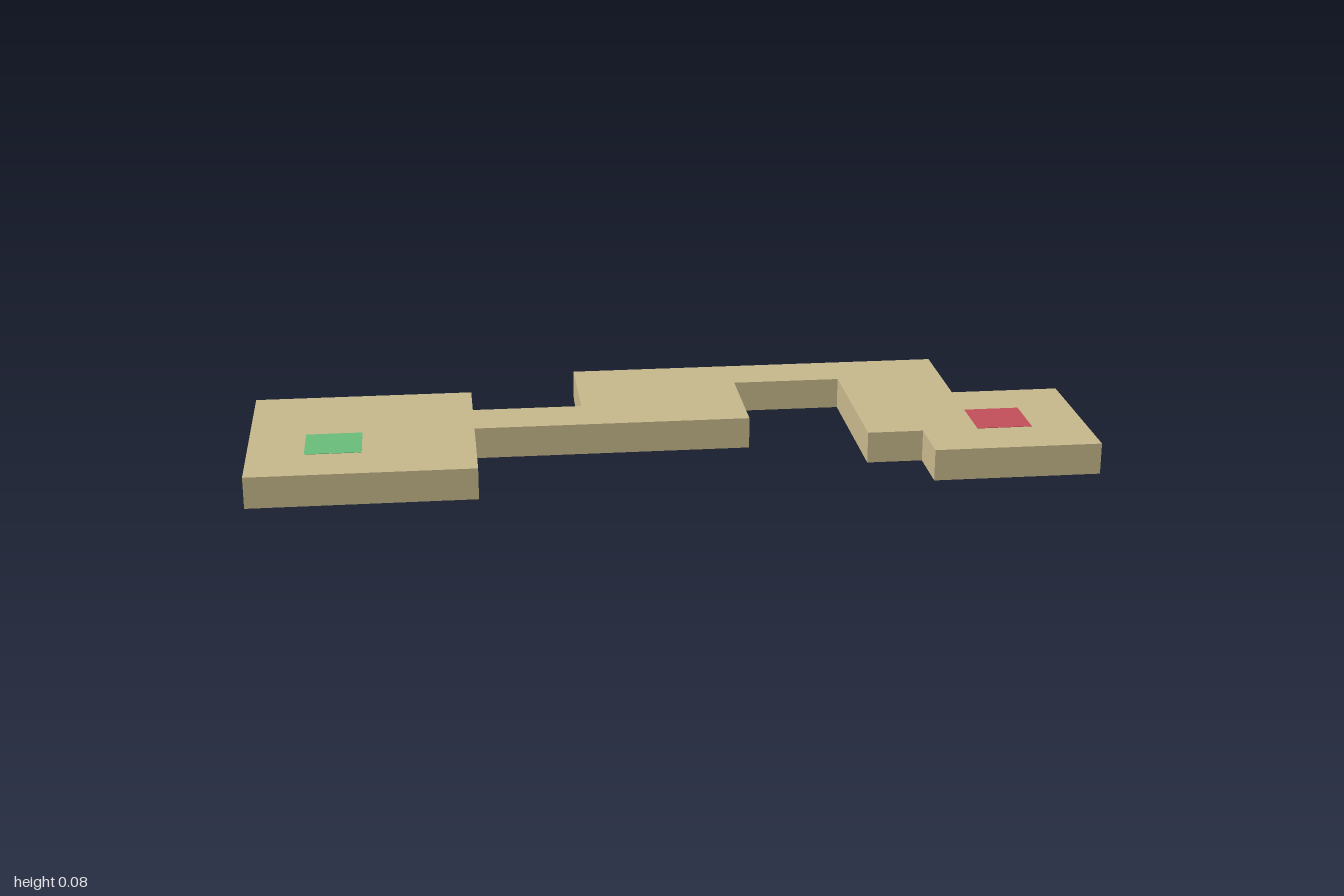
import * as THREE from 'three';

const CELL = 2 / 15;      // the plan is laid out on a 15 x 5 grid of cells
const HEIGHT = 0.076;
const toX = (column) => (column - 7.5) * CELL;
const toZ = (row) => (row - 2.5) * CELL;

// Floor outline as [column, row] corners
const OUTLINE = [
  [0, 1], [4, 1], [4, 2], [6, 2], [6, 0], [13, 0], [13, 2], [15, 2], [15, 5],
  [12, 5], [12, 4], [11, 4], [11, 1], [9, 1], [9, 3], [4, 3], [4, 5], [0, 5],
];

function material(name, color) {
  const m = new THREE.MeshStandardMaterial({ color });
  m.name = name;
  return m;
}

export function createModel() {
  const group = new THREE.Group();
  group.name = 'platformCourse';
  const sand = material('sand', 0xc8b98c);
  const green = material('green', 0x6abd7c);
  const red = material('red', 0xc4505a);

  // Walkway slab: one extruded outline laid flat
  const shape = new THREE.Shape(OUTLINE.map(([c, r]) => new THREE.Vector2(toX(c), -toZ(r))));
  const slabGeometry = new THREE.ExtrudeGeometry(shape, { depth: HEIGHT, bevelEnabled: false });
  slabGeometry.rotateX(-Math.PI / 2);
  const slab = new THREE.Mesh(slabGeometry, sand);
  slab.name = 'floorSlab';
  group.add(slab);

  // Thin one-cell markers, barely proud of the slab
  const addMarker = (name, column, row, mat) => {
    const marker = new THREE.Mesh(new THREE.BoxGeometry(CELL, 0.002, CELL), mat);
    marker.name = name;
    marker.position.set(toX(column + 0.5), HEIGHT, toZ(row + 0.5));
    group.add(marker);
  };
  addMarker('startMarker', 1, 3, green);
  addMarker('goalMarker', 13, 3, red);

  return group;
}
